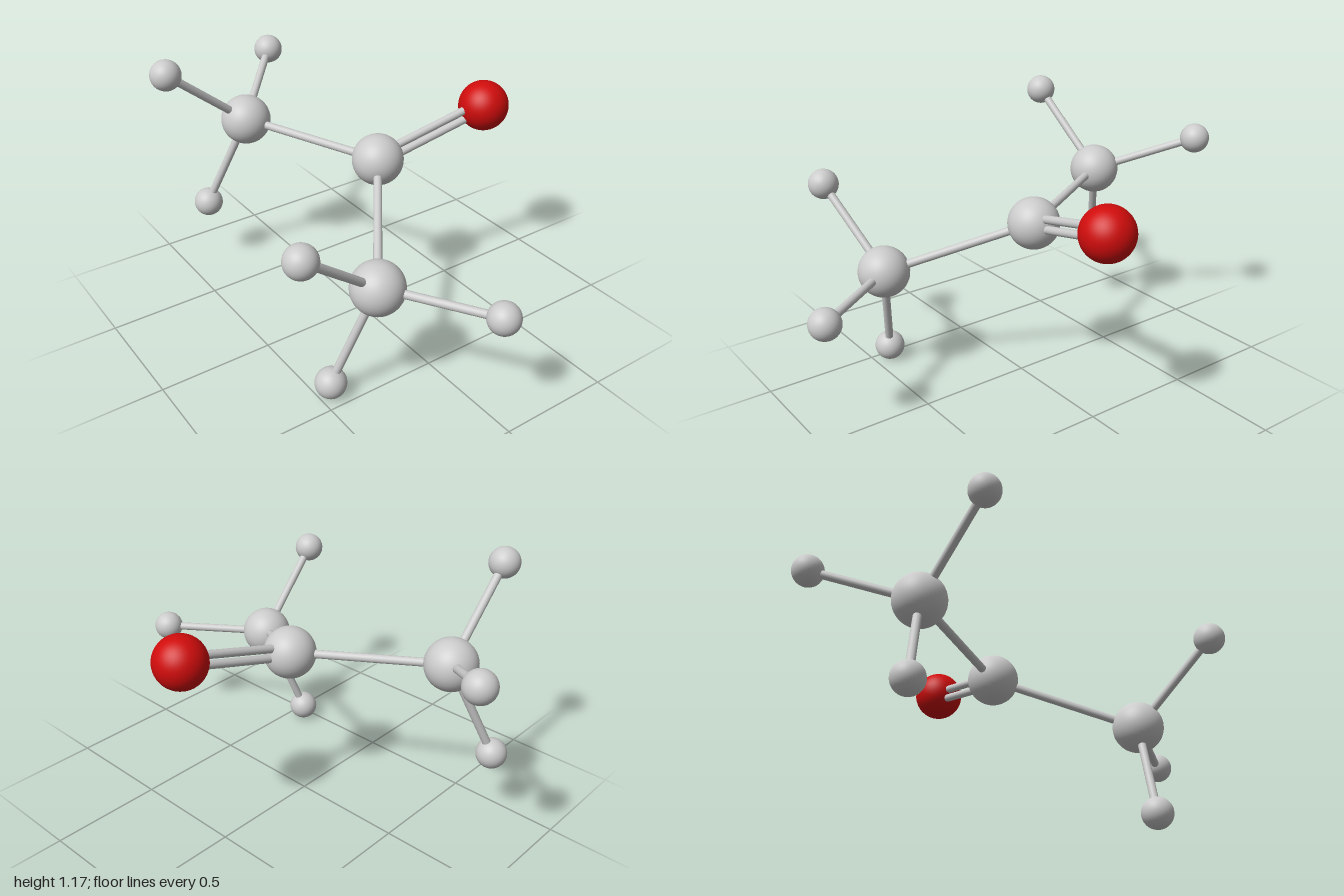
import * as THREE from 'three';

const ROD = 0.018;

export function createModel() {
  const model = new THREE.Group();
  const grey = new THREE.MeshStandardMaterial({ color: 0xcccccc });
  const red = new THREE.MeshStandardMaterial({ color: 0xd00c0c });
  const V = (x, y, z) => new THREE.Vector3(x, y, z);
  const up = V(0, 1, 0);

  const largeBall = new THREE.SphereGeometry(0.112, 40, 28);
  const smallBall = new THREE.SphereGeometry(0.067, 32, 22);

  function ball(name, position, geometry, material = grey) {
    const mesh = new THREE.Mesh(geometry, material);
    mesh.name = name;
    mesh.position.copy(position);
    model.add(mesh);
  }

  // Rod running from centre to centre, optionally shifted sideways
  function rod(name, a, b, offset = V(0, 0, 0)) {
    const along = b.clone().sub(a);
    const mesh = new THREE.Mesh(new THREE.CylinderGeometry(ROD, ROD, along.length(), 20), grey);
    mesh.name = name;
    mesh.position.copy(a).add(b).multiplyScalar(0.5).add(offset);
    mesh.quaternion.setFromUnitVectors(up, along.normalize());
    model.add(mesh);
  }

  // Central carbon and oxygen, joined by a double bond
  const centre = V(0, 0.745, -0.088);
  const oxygen = V(0.067, 0.885, -0.62);
  ball('centralCarbon', centre, largeBall);
  ball('oxygen', oxygen, largeBall, red);
  const dir = oxygen.clone().sub(centre).normalize();
  const side = up.clone().addScaledVector(dir, -up.dot(dir)).normalize();
  for (const s of [-1, 1]) {
    rod(s > 0 ? 'upperDoubleBond' : 'lowerDoubleBond', centre, oxygen, side.clone().multiplyScalar(s * 0.022));
  }

  // Two end groups: a carbon with three hydrogens each
  const ends = [
    { name: 'right', carbon: V(-0.6, 0.788, 0.22),
      hydrogens: [V(-0.933, 0.953, -0.1), V(-0.57, 1.103, 0.598), V(-0.735, 0.343, 0.38)] },
    { name: 'left', carbon: V(0.519, 0.526, 0.288),
      hydrogens: [V(0.931, 0.516, 0.013), V(0.59, 0.832, 0.668), V(0.426, 0.069, 0.45)] },
  ];
  for (const { name, carbon, hydrogens } of ends) {
    ball(name + 'Carbon', carbon, largeBall);
    rod(name + 'CarbonBond', centre, carbon);
    hydrogens.forEach((h, i) => {
      ball(name + 'Hydrogen' + (i + 1), h, smallBall);
      rod(name + 'HydrogenBond' + (i + 1), carbon, h);
    });
  }
  return model;
}
